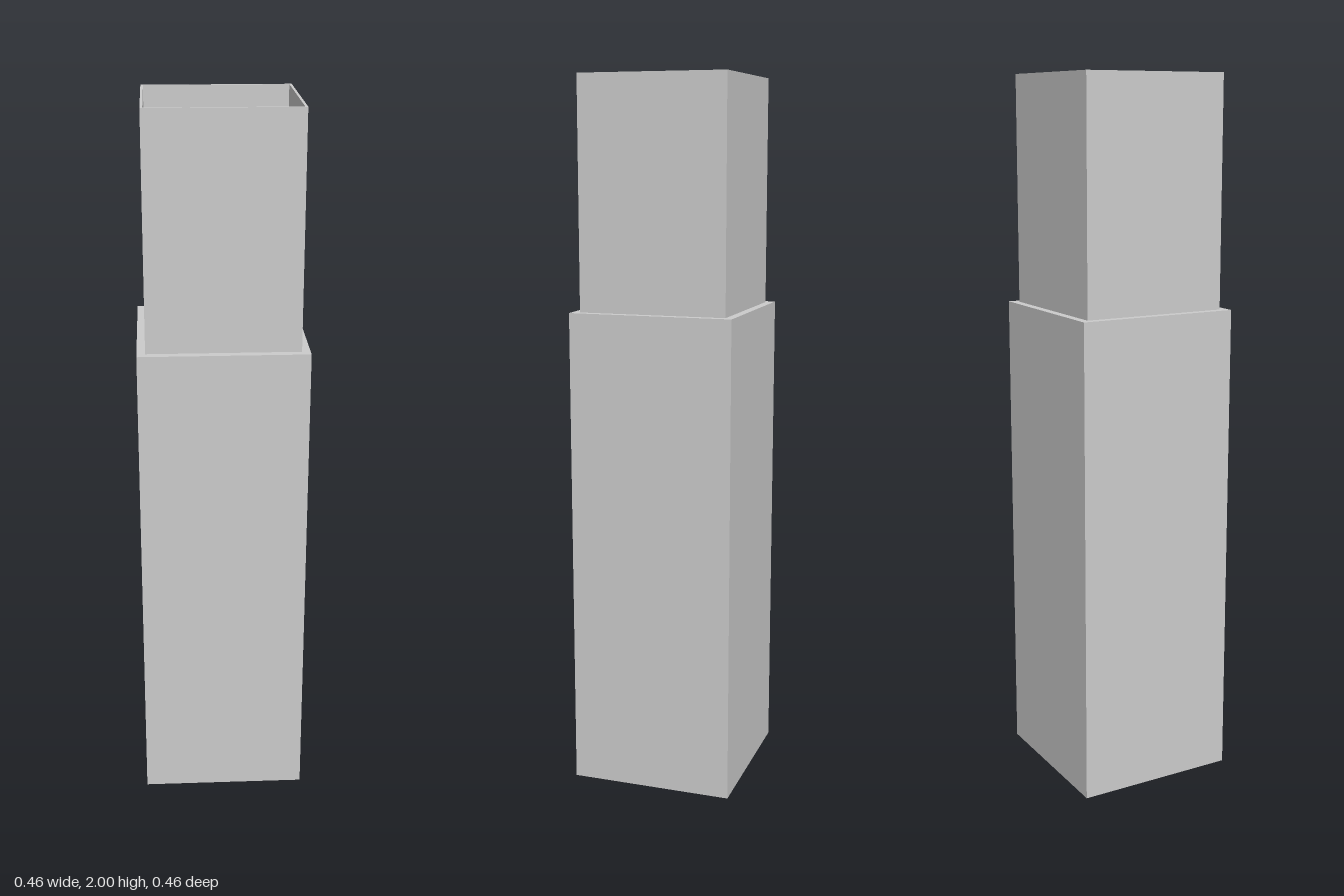
import * as THREE from 'three';

const material = new THREE.MeshStandardMaterial({ color: 0xcccccc, flatShading: true, side: THREE.DoubleSide });

// Square section: turns a profile of [half width, height] points around y in four flat sides
function squareShell(name, profile) {
  const points = profile.map(([half, y]) => new THREE.Vector2(half * Math.SQRT2, y));
  const geometry = new THREE.LatheGeometry(points, 4, Math.PI / 4).toNonIndexed();
  geometry.computeVertexNormals();
  const mesh = new THREE.Mesh(geometry, material);
  mesh.name = name;
  return mesh;
}

export function createModel() {
  const model = new THREE.Group();
  model.name = 'steppedSquareColumn';

  const ledge = 1.364, top = 2;
  const lowerHalf = 0.231, upperHalf = 0.208, boreHalf = 0.201;

  // Wide lower sleeve: open underneath, closed at the ledge
  model.add(squareShell('lowerSleeve', [[lowerHalf, 0], [lowerHalf, ledge], [0, ledge]]));

  // Narrow upper tube: thin walls with a flat rim, open at the top
  model.add(squareShell('upperTube', [[upperHalf, ledge], [upperHalf, top], [boreHalf, top], [boreHalf, ledge]]));

  return model;
}
